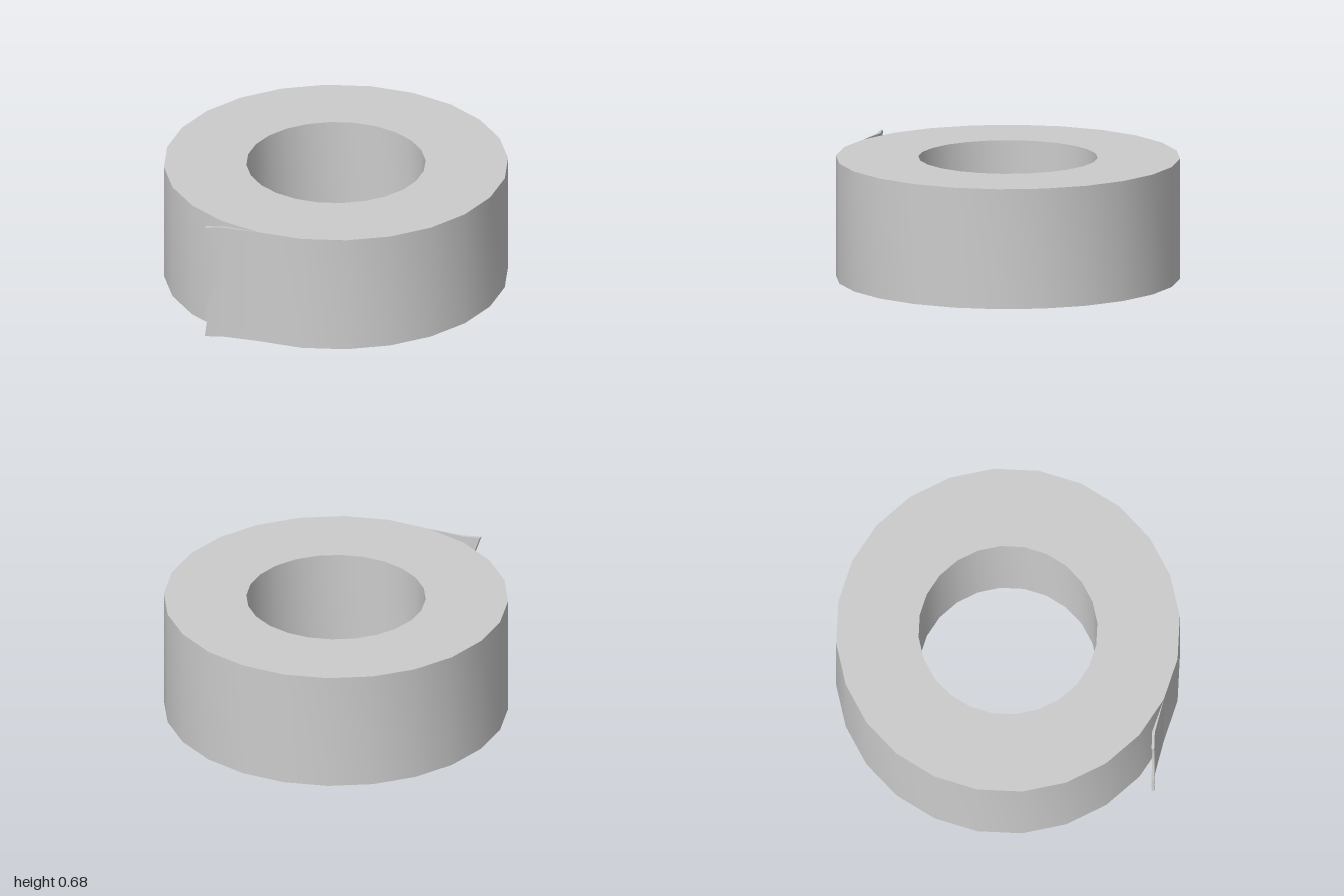
import * as THREE from 'three';
import { toCreasedNormals } from 'three/addons/utils/BufferGeometryUtils.js';

const HEIGHT = 0.68, OUTER = 0.96, INNER = 0.5, CENTRE_Z = -0.04;

// Loose end: a thin strip leaving the roll at its front, with a torn edge
function looseEndGeometry() {
  // torn edge as [height, x]
  const torn = [[0, -0.295], [0.085, -0.285], [0.17, -0.295], [0.34, -0.245], [0.52, -0.245], [HEIGHT, -0.295]];
  const thick = 0.016, bendX = -0.2, bendZ = 0.959, startZ = OUTER + CENTRE_Z;
  const n = 5, positions = [], index = [];

  for (const [y, x] of torn) {
    const tipZ = bendZ + (bendX - x) * 0.43;
    positions.push(
      0, y, startZ,
      bendX, y, bendZ,
      x, y, tipZ,
      x, y, tipZ - thick,
      bendX, y, bendZ - thick
    );
  }
  for (let r = 0; r < torn.length - 1; r++) {
    for (let i = 0; i < n; i++) {
      const a = r * n + i, b = r * n + (i + 1) % n;
      index.push(b, a, a + n, b, a + n, b + n);
    }
  }
  // top and bottom edges of the strip
  const top = (torn.length - 1) * n;
  for (const [a, b, c] of [[0, 4, 1], [1, 4, 3], [1, 3, 2]]) {
    index.push(top + a, top + b, top + c, a, c, b);
  }

  const geometry = new THREE.BufferGeometry();
  geometry.setAttribute('position', new THREE.Float32BufferAttribute(positions, 3));
  geometry.setIndex(index);
  return toCreasedNormals(geometry, Math.PI / 6);
}

export function createModel() {
  const group = new THREE.Group();
  group.name = 'tapeRoll';
  const material = new THREE.MeshStandardMaterial({ color: 0xcccccc });

  // Roll: a rectangular section turned around the hollow core
  const section = [[INNER, 0], [OUTER, 0], [OUTER, HEIGHT], [INNER, HEIGHT], [INNER, 0]]
    .map(([r, y]) => new THREE.Vector2(r, y));
  const roll = new THREE.Mesh(toCreasedNormals(new THREE.LatheGeometry(section, 24), Math.PI / 6), material);
  roll.name = 'roll';
  roll.position.z = CENTRE_Z;
  group.add(roll);

  const looseEnd = new THREE.Mesh(looseEndGeometry(), material);
  looseEnd.name = 'looseEnd';
  group.add(looseEnd);

  return group;
}
